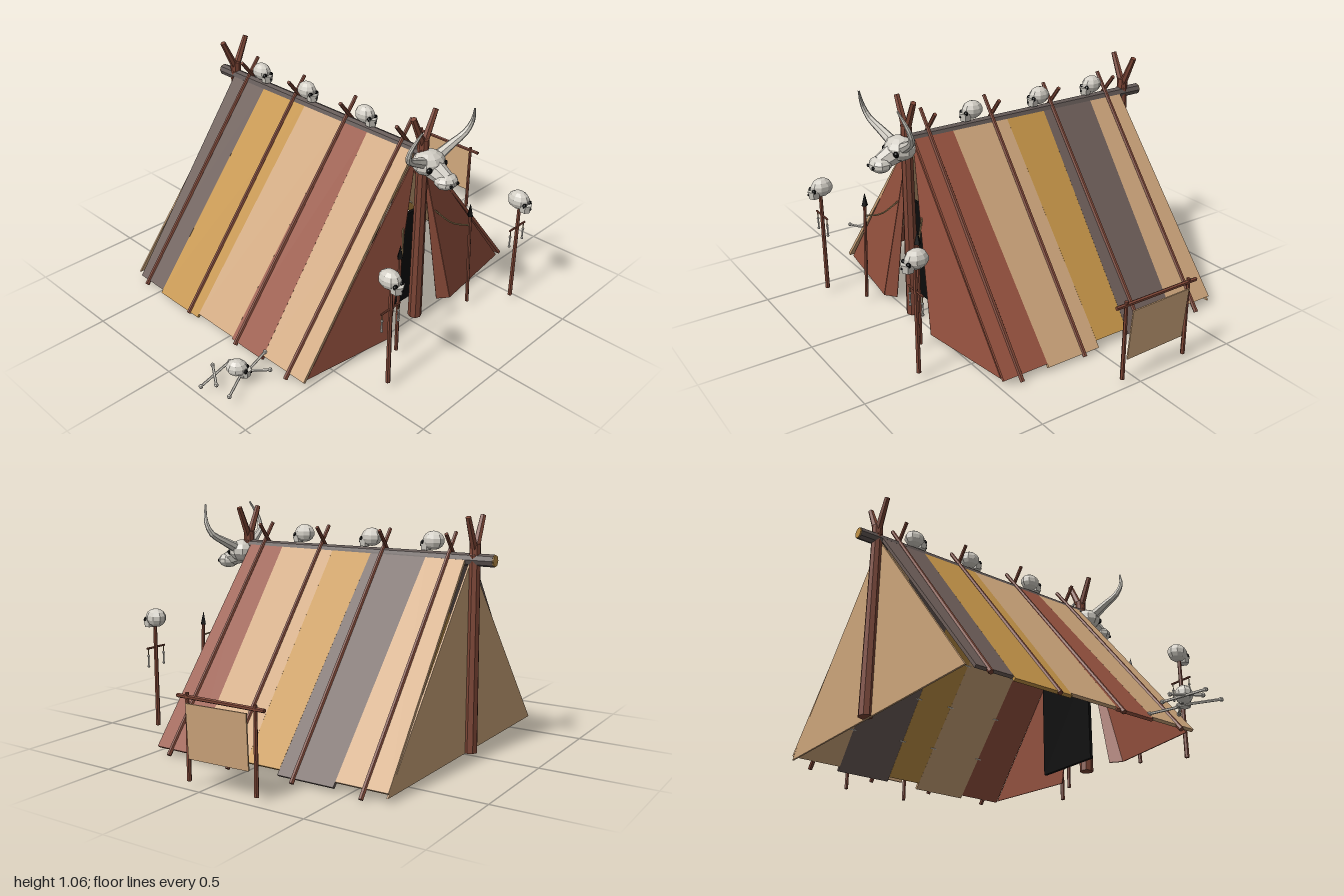
import * as THREE from 'three';

const mat = (name, color) => {
  const m = new THREE.MeshStandardMaterial({ color, flatShading: true });
  m.name = name;
  return m;
};
const M = {
  tan: mat('tan hide', 0xcca47a),
  red: mat('red hide', 0x96523f),
  ochre: mat('ochre hide', 0xc29247),
  grey: mat('grey hide', 0x6c5d58),
  wood: mat('wood', 0x7c4535),
  bark: mat('dark bark', 0x645a57),
  bone: mat('bone', 0xd2cec5),
  black: mat('black', 0x0c0c0c),
  rope: mat('rope', 0x9a8058),
};
const V = (x, y, z) => new THREE.Vector3(x, y, z);
const CX = 0.025; // tent centre line

function add(parent, name, geo, material) {
  const m = new THREE.Mesh(geo, material);
  m.name = name;
  parent.add(m);
  return m;
}

// Tapered round bar from a to b
function rod(parent, name, a, b, r0, r1, material, sides = 6) {
  const m = add(parent, name, new THREE.CylinderGeometry(r1, r0, a.distanceTo(b), sides), material);
  m.position.copy(a).add(b).multiplyScalar(0.5);
  m.quaternion.setFromUnitVectors(V(0, 1, 0), b.clone().sub(a).normalize());
  return m;
}

// Flat polygon of thickness t, centred on the plane of its points
function plate(parent, name, pts, t, material) {
  const u = pts[1].clone().sub(pts[0]).normalize();
  const n = u.clone().cross(pts[2].clone().sub(pts[0])).normalize();
  const v = n.clone().cross(u);
  const flat = pts.map((p) => {
    const d = p.clone().sub(pts[0]);
    return new THREE.Vector2(d.dot(u), d.dot(v));
  });
  const geo = new THREE.ExtrudeGeometry(new THREE.Shape(flat), { depth: t, bevelEnabled: false });
  geo.translate(0, 0, -t / 2);
  geo.applyMatrix4(new THREE.Matrix4().makeBasis(u, v, n).setPosition(pts[0]));
  return add(parent, name, geo, material);
}

// Tube whose radius shrinks along its path
function taperTube(parent, name, pts, r0, r1, material) {
  const curve = new THREE.CatmullRomCurve3(pts), seg = 10, sides = 7;
  const geo = new THREE.TubeGeometry(curve, seg, r0, sides);
  const pos = geo.attributes.position, p = V(0, 0, 0);
  for (let i = 0; i < pos.count; i++) {
    const t = Math.floor(i / (sides + 1)) / seg, c = curve.getPointAt(t);
    p.fromBufferAttribute(pos, i).sub(c).multiplyScalar(1 + (r1 / r0 - 1) * t).add(c);
    pos.setXYZ(i, p.x, p.y, p.z);
  }
  return add(parent, name, geo, material);
}

function ball(parent, name, p, s, material, w = 9, h = 7) {
  const m = add(parent, name, new THREE.SphereGeometry(1, w, h), material);
  m.position.copy(p);
  m.scale.copy(s);
  return m;
}

function skull(parent, name, p, scale = 1, turn = 0) {
  const g = new THREE.Group();
  g.name = name;
  ball(g, 'cranium', V(0, 0, 0), V(0.039, 0.041, 0.05), M.bone);
  const jaw = add(g, 'jaw', new THREE.CylinderGeometry(0.03, 0.024, 0.034, 6), M.bone);
  jaw.position.set(0, -0.026, 0.036);
  for (const s of [-1, 1]) ball(g, 'eyeSocket', V(s * 0.018, -0.008, 0.043), V(0.012, 0.011, 0.009), M.black, 7, 5);
  ball(g, 'noseHole', V(0, -0.023, 0.062), V(0.005, 0.006, 0.006), M.black, 5, 4);
  g.position.copy(p);
  g.rotation.y = turn;
  g.scale.setScalar(scale);
  parent.add(g);
}

// Long bone with knobs at both ends
function bone(parent, a, b, r = 0.006) {
  rod(parent, 'boneShaft', a, b, r, r, M.bone, 5);
  for (const p of [a, b]) ball(parent, 'boneKnob', p, V(1, 1, 1).multiplyScalar(r * 1.7), M.bone, 6, 4);
}

export function createModel() {
  const root = new THREE.Group();
  root.name = 'hideTent';

  // Roof hides: seam positions as [z at ridge, z at foot], front to back
  const sides = {
    1: { seams: [[0.48, 0.485], [0.29, 0.265], [0.005, -0.005], [-0.2, -0.175], [-0.475, -0.445], [-0.66, -0.685]],
      colours: ['red', 'tan', 'ochre', 'grey', 'tan'], foot: [0.69, 0.7, 0.68, 0.695, 0.68] },
    [-1]: { seams: [[0.475, 0.49], [0.21, 0.24], [0.06, 0.04], [-0.18, -0.2], [-0.46, -0.475], [-0.68, -0.645]],
      colours: ['tan', 'red', 'tan', 'ochre', 'grey'], foot: [0.69, 0.7, 0.695, 0.705, 0.695] },
  };
  for (const s of [1, -1]) {
    const { seams, colours, foot } = sides[s];
    const at = (hw, z, out = 0) => V(CX + s * (hw + out * 0.78), 0.865 - (hw - 0.02) * 1.243 + out * 0.627, z);
    colours.forEach((c, i) => {
      const [a, b] = [seams[i], seams[i + 1]], f = foot[i];
      plate(root, 'roofHide', [at(0.012, a[0]), at(f, a[1]), at(f, b[1]), at(0.012, b[0])], 0.014, M[c]);
      // Stitches across the seam on the inside
      if (i > 0) for (const t of [0.2, 0.4, 0.6, 0.8]) {
        const z = a[0] + (a[1] - a[0]) * t;
        rod(root, 'stitch', at(t * 0.7, z - 0.015, -0.009), at(t * 0.7, z + 0.015, -0.009), 0.003, 0.003, M.bone, 4);
      }
    });
    // Poles resting on the roof, crossing above the ridge
    for (const z of [0.4, 0.073, -0.257, -0.583]) {
      const zz = z + s * 0.004;
      rod(root, 'roofPole', V(CX + s * 0.712, 0.012, zz), V(CX - s * 0.055, 0.975, zz), 0.011, 0.009, M.wood);
    }
    // Door flap, pulled forward at its inner edge
    plate(root, 'doorFlap', [V(CX + s * 0.02, 0.86, 0.485), V(CX + s * 0.665, 0.03, 0.478),
      V(CX + s * 0.215, 0.03, 0.54)], 0.006, M.red);
    plate(root, 'doorFlapEdge', [V(CX + s * 0.02, 0.86, 0.485), V(CX + s * 0.215, 0.03, 0.54),
      V(CX + s * 0.165, 0.03, 0.5)], 0.006, M.red);
    // Spear with a cord to the post
    const foot0 = V(CX + s * 0.252, 0.03, 0.615), neck = V(CX + s * 0.238, 0.5, 0.605);
    rod(root, 'spearShaft', foot0, neck, 0.009, 0.008, M.wood);
    rod(root, 'spearTip', neck, V(CX + s * 0.236, 0.56, 0.604), 0.016, 0.001, M.black, 4);
    const cord = new THREE.CatmullRomCurve3([V(CX + s * 0.238, 0.45, 0.606),
      V(CX + s * 0.17, 0.472, 0.56), V(CX + s * 0.1, 0.55, 0.5)]);
    add(root, 'cord', new THREE.TubeGeometry(cord, 8, 0.004, 5), M.rope);
    // Skull stake with hanging bones
    const x = CX + s * 0.435, z = 0.73;
    rod(root, 'skullStake', V(x, 0.03, z), V(x, 0.51, z), 0.011, 0.009, M.wood);
    rod(root, 'stakeCrossbar', V(x - 0.058, 0.41, z), V(x + 0.058, 0.41, z), 0.005, 0.005, M.wood);
    for (const k of [-1, 1]) {
      rod(root, 'hangingCord', V(x + k * 0.05, 0.41, z), V(x + k * 0.05, 0.37, z), 0.003, 0.003, M.rope, 4);
      bone(root, V(x + k * 0.05, 0.375, z), V(x + k * 0.05, 0.325, z), 0.004);
    }
    skull(root, 'stakeSkull', V(x, 0.55, 0.722), 1.06);
  }

  // Back wall and dark doorway
  plate(root, 'backWall', [V(CX, 0.865, -0.675), V(CX - 0.685, 0.028, -0.68), V(CX + 0.685, 0.028, -0.68)], 0.008, M.tan);
  add(root, 'doorway', new THREE.BoxGeometry(0.33, 0.47, 0.015), M.black).position.set(CX, 0.265, 0.39);

  // Ridge beam with a cut end
  rod(root, 'ridgeBeam', V(CX, 0.868, -0.785), V(CX, 0.868, 0.54), 0.027, 0.025, M.bark, 8);
  rod(root, 'ridgeCutEnd', V(CX, 0.868, -0.79), V(CX, 0.868, -0.784), 0.025, 0.025, M.ochre, 8);

  // End posts with forked tops
  for (const z of [0.507, -0.695]) {
    rod(root, 'endPost', V(CX, 0.03, z), V(CX, 0.935, z), 0.032, 0.025, M.wood, 8);
    for (const s of [-1, 1]) {
      rod(root, 'postFork', V(CX - s * 0.01, 0.88, z), V(CX + s * 0.072, 1.05, z), 0.019, 0.013, M.wood);
    }
  }

  // Ridge skulls
  for (const z of [0.175, -0.19, -0.5]) skull(root, 'ridgeSkull', V(CX, 0.94, z));

  // Horned animal skull over the door
  const head = new THREE.Group();
  head.name = 'hornedSkull';
  head.position.x = CX;
  root.add(head);
  ball(head, 'cranium', V(0, 0.838, 0.54), V(0.078, 0.055, 0.068), M.bone, 10, 7);
  rod(head, 'snout', V(0, 0.825, 0.56), V(0, 0.79, 0.64), 0.05, 0.036, M.bone, 8);
  ball(head, 'muzzle', V(0, 0.785, 0.637), V(0.055, 0.036, 0.05), M.bone, 9, 7);
  for (const s of [-1, 1]) {
    ball(head, 'eyeSocket', V(s * 0.05, 0.832, 0.586), V(0.016, 0.014, 0.012), M.black, 7, 5);
    ball(head, 'nostril', V(s * 0.022, 0.783, 0.682), V(0.009, 0.008, 0.006), M.black, 6, 4);
    taperTube(head, 'horn', [V(s * 0.05, 0.855, 0.55), V(s * 0.12, 0.89, 0.565), V(s * 0.185, 0.93, 0.585),
      V(s * 0.2, 0.985, 0.605), V(s * 0.168, 1.065, 0.635)], 0.025, 0.004, M.bone);
  }

  // Bone pile on the ground
  skull(root, 'groundSkull', V(-0.835, 0.085, 0.26), 0.95, 0.7);
  const pile = [[-0.99, 0.21, -0.8, 0.17], [-0.94, 0.25, -0.87, 0.14], [-0.95, 0.345, -0.8, 0.26],
    [-0.83, 0.29, -0.66, 0.24], [-0.83, 0.25, -0.725, 0.345]];
  pile.forEach(([x0, z0, x1, z1], i) => bone(root, V(x0, 0.046 + i * 0.002, z0), V(x1, 0.044 + i * 0.003, z1)));

  // Drying rack with a stretched hide
  const rx = 0.97;
  for (const z of [0.075, -0.262]) rod(root, 'rackPost', V(rx, 0.03, z), V(rx, 0.39, z), 0.01, 0.008, M.wood);
  rod(root, 'rackBar', V(rx, 0.373, 0.125), V(rx, 0.373, -0.305), 0.009, 0.009, M.wood);
  plate(root, 'rackHide', [V(0.996, 0.355, 0.06), V(0.98, 0.125, 0.065), V(0.98, 0.13, -0.235),
    V(0.996, 0.36, -0.24)], 0.006, M.tan);
  return root;
}
